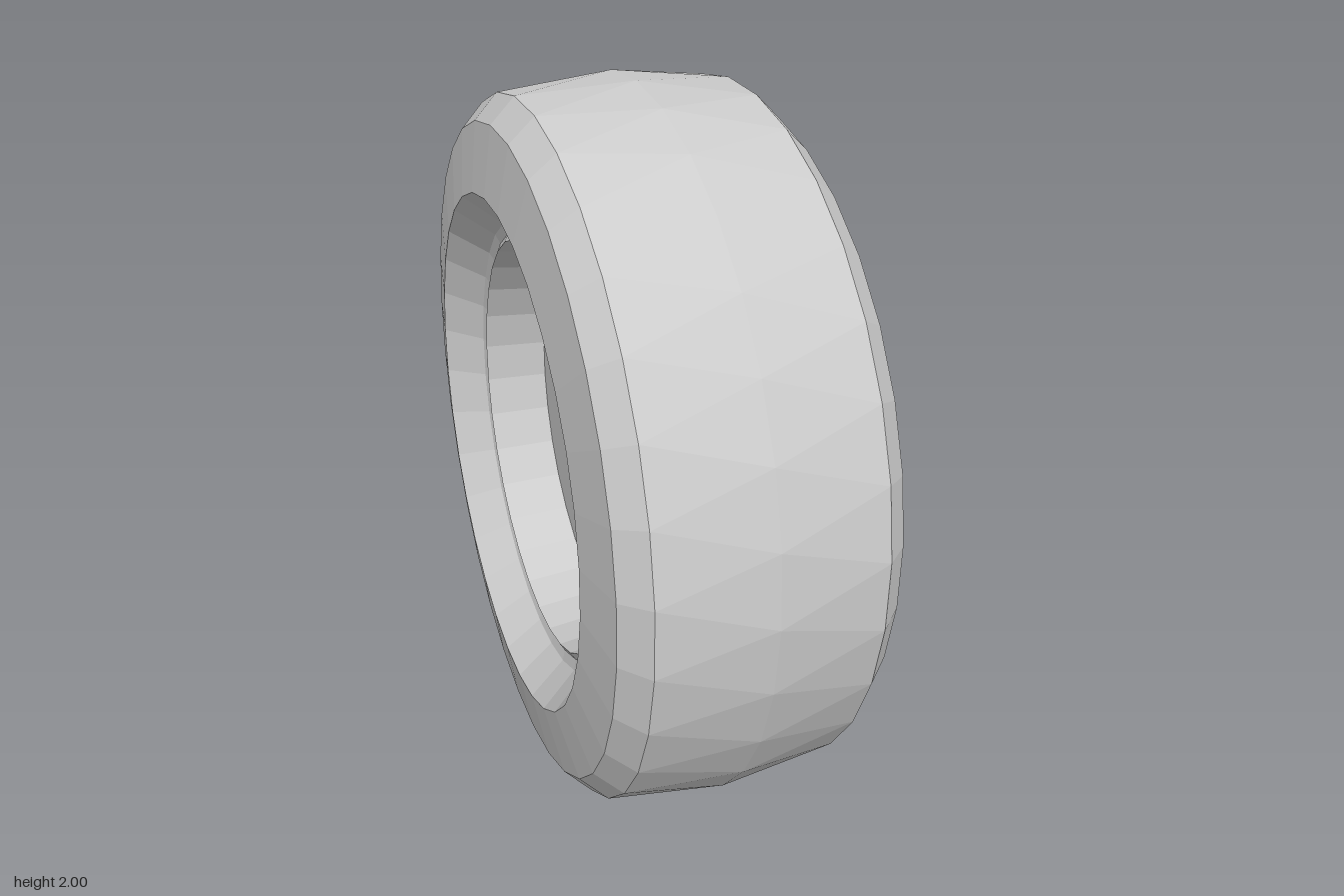
import * as THREE from 'three';

const SEGMENTS = 32;
const material = new THREE.MeshStandardMaterial({ color: 0xcccccc, flatShading: true });

// Revolve [radius, offset] pairs around the axle (x axis)
function revolve(profile, segments = SEGMENTS) {
  const points = profile.map(([r, x]) => new THREE.Vector2(r, x));
  return new THREE.LatheGeometry(points, segments, Math.PI / segments);
}

function addPart(parent, name, geometry) {
  geometry.rotateZ(-Math.PI / 2);
  const mesh = new THREE.Mesh(geometry, material);
  mesh.name = name;
  parent.add(mesh);
  return mesh;
}

// One half of the tyre, from the tread centre line round to the bead
function tyreHalfGeometry() {
  const profile = [
    [1, 0], [0.967, 0.29], [0.9, 0.357], [0.715, 0.387], [0.628, 0.285], [0.6, 0.275],
  ];
  const geometry = revolve(profile);
  // Turn the centre ring by half a step so the tread facets form diamonds
  const pos = geometry.attributes.position;
  for (let i = 0; i <= SEGMENTS; i++) {
    const angle = (i / SEGMENTS) * Math.PI * 2;
    pos.setXYZ(i * profile.length, Math.sin(angle), 0, Math.cos(angle));
  }
  return geometry;
}

export function createModel() {
  const wheel = new THREE.Group();
  wheel.name = 'wheel';

  // Tyre and rim are the same on both sides
  for (const [side, turn] of [['outer', 0], ['inner', Math.PI]]) {
    const half = new THREE.Group();
    half.name = side + 'Side';
    half.rotation.y = turn;
    addPart(half, side + 'Tyre', tyreHalfGeometry());
    addPart(half, side + 'Rim', revolve([[0.6, 0.275], [0.578, 0.288], [0.557, 0.11]]));
    wheel.add(half);
  }

  // Wheel disc: raised with a bevel outside, flat inside
  addPart(wheel, 'disc', revolve([[0, -0.11], [0.557, -0.11], [0.557, 0.11], [0.41, 0.175], [0, 0.175]]));

  // Hub cap, on the outer side only
  const hub = addPart(wheel, 'hub', new THREE.CylinderGeometry(0.237, 0.237, 0.18, 16));
  hub.position.x = 0.25;

  wheel.position.y = 1;
  const model = new THREE.Group();
  model.add(wheel);
  return model;
}
